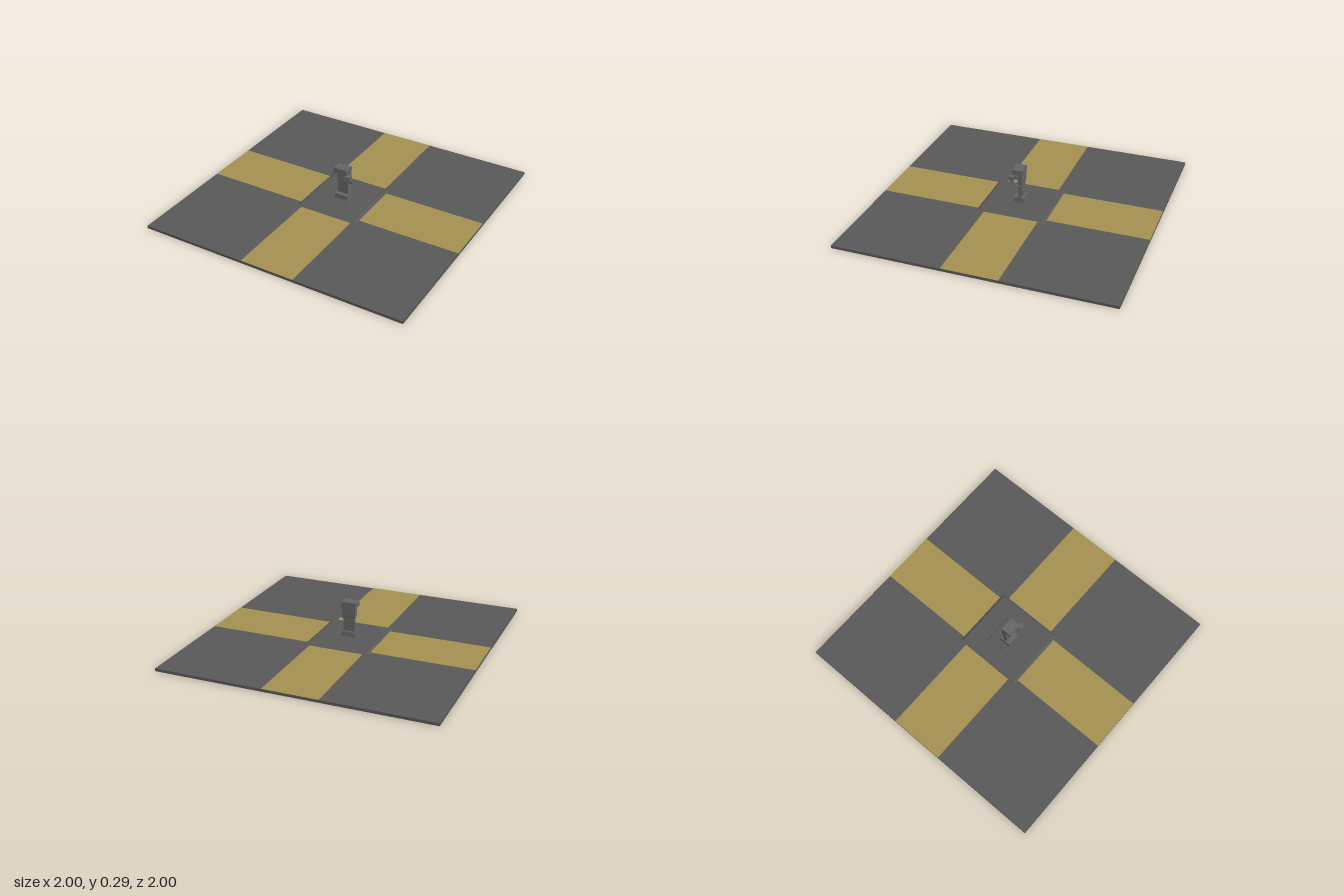
import * as THREE from 'three';

export function createModel() {
  const model = new THREE.Group();
  const mat = (color) => new THREE.MeshStandardMaterial({ color, flatShading: true });
  const asphalt = mat(0x595959), paint = mat(0xa59152), metal = mat(0x666666);

  const add = (parent, name, geometry, material) => {
    const mesh = new THREE.Mesh(geometry, material);
    mesh.name = name;
    parent.add(mesh);
    return mesh;
  };

  // Box given by its limits; topInset slopes the sides inwards towards the top
  const block = (parent, name, [x0, x1], [y0, y1], [z0, z1], material, topInset = 0) => {
    const w = x1 - x0, d = z1 - z0;
    const g = new THREE.BoxGeometry(w, y1 - y0, d);
    const p = g.attributes.position;
    for (let i = 0; i < p.count; i++) {
      if (p.getY(i) > 0) {
        p.setX(i, p.getX(i) * (1 - 2 * topInset / w));
        p.setZ(i, p.getZ(i) * (1 - 2 * topInset / d));
      }
    }
    g.computeVertexNormals();
    const mesh = add(parent, name, g, material);
    mesh.position.set((x0 + x1) / 2, (y0 + y1) / 2, (z0 + z1) / 2);
    return mesh;
  };

  // Ground slab and the four painted lanes
  block(model, 'groundSlab', [-1, 1], [0, 0.02], [-1, 1], asphalt);
  for (const s of [-1, 1]) {
    const span = s > 0 ? [0.2, 1] : [-1, -0.2];
    block(model, 'laneAlongX', span, [0.019, 0.021], [-0.205, 0.2], paint);
    block(model, 'laneAlongZ', [-0.205, 0.2], [0.019, 0.021], span, paint);
  }

  // Raised island with sloping kerb and a thin mounting pad
  block(model, 'island', [-0.245, 0.24], [0.02, 0.03], [-0.26, 0.26], asphalt, 0.02);
  block(model, 'mountingPad', [-0.11, 0.11], [0.03, 0.034], [-0.11, 0.11], asphalt, 0.003);

  // Pump dispenser
  const pump = new THREE.Group();
  pump.name = 'pump';
  model.add(pump);
  block(pump, 'base', [-0.055, 0.05], [0.034, 0.07], [-0.035, 0.045], metal, 0.002);

  // Slim column whose side outline widens into the overhanging head
  const outline = new THREE.Shape([
    [-0.015, 0.07], [0.013, 0.07], [0.013, 0.255], [0.055, 0.255],
    [0.055, 0.29], [-0.02, 0.29], [-0.02, 0.2], [-0.015, 0.17],
  ].map(([z, y]) => new THREE.Vector2(-z, y)));
  const column = add(pump, 'column',
    new THREE.ExtrudeGeometry(outline, { depth: 0.085, bevelEnabled: false }), metal);
  column.rotation.y = Math.PI / 2;
  column.position.x = -0.045;

  // Wider housing around the head and a collar below it
  block(pump, 'headHousing', [-0.055, 0.05], [0.25, 0.29], [-0.02, 0.055], metal);
  block(pump, 'headPanel', [-0.053, 0.048], [0.19, 0.25], [-0.02, 0.013], metal);
  block(pump, 'collar', [-0.05, 0.045], [0.182, 0.19], [-0.018, 0.015], metal);

  // Nozzle on the left side with its hose
  block(pump, 'nozzleGrip', [0.035, 0.083], [0.218, 0.25], [0.03, 0.07], metal, 0.002);
  block(pump, 'nozzleBracket', [0.035, 0.06], [0.225, 0.25], [0.01, 0.035], metal);
  const hosePath = new THREE.CatmullRomCurve3([
    [0.038, 0.162, -0.002], [0.057, 0.172, 0.003], [0.073, 0.19, 0.025], [0.073, 0.225, 0.05],
  ].map((p) => new THREE.Vector3(...p)));
  add(pump, 'hose', new THREE.TubeGeometry(hosePath, 10, 0.008, 6, false), metal);

  return model;
}
